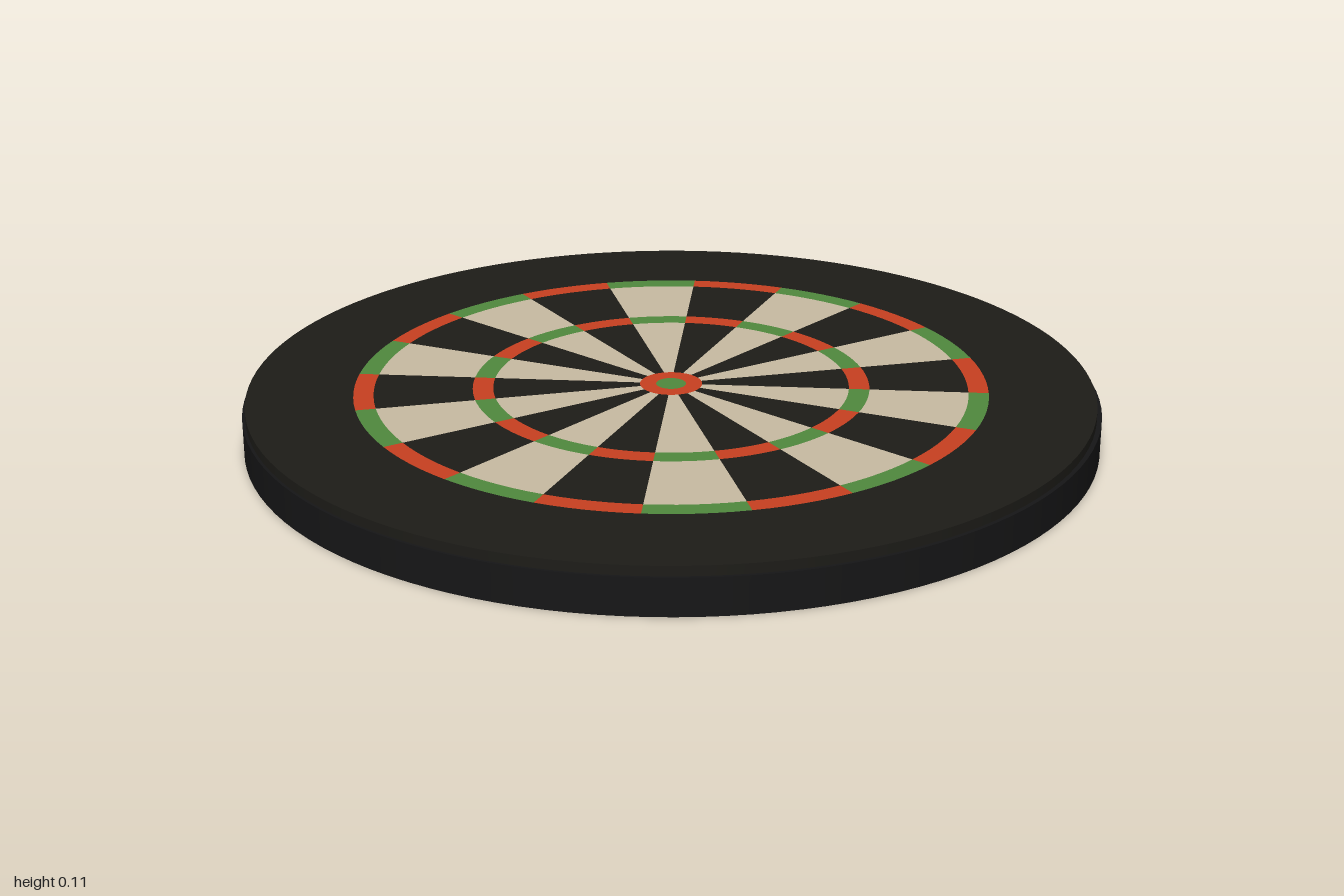
import * as THREE from 'three';
import { mergeGeometries } from 'three/addons/utils/BufferGeometryUtils.js';

const SECTORS = 20, SEGMENTS = 120, TOP = 0.11, BODY = 0.087;
const STEP = (Math.PI * 2) / SECTORS;
const BLACK = 0x1d1c18, CREAM = 0xc8bba3, RED = 0xc84020, GREEN = 0x508a3e;

function addMesh(parent, name, geometry, color) {
  const mesh = new THREE.Mesh(geometry, new THREE.MeshStandardMaterial({ color }));
  mesh.name = name;
  parent.add(mesh);
  return mesh;
}

// Flat ring (or part of one) lying on the top face
function flatRing(inner, outer, start = 0, length = Math.PI * 2) {
  const segments = Math.round((SEGMENTS * length) / (Math.PI * 2));
  return new THREE.RingGeometry(inner, outer, segments, 1, start, length)
    .rotateX(-Math.PI / 2).translate(0, TOP, 0);
}

// Every second sector of a ring, merged; parity 0 includes the one towards -z
function sectorRing(inner, outer, parity) {
  const parts = [];
  for (let i = parity; i < SECTORS; i += 2) {
    parts.push(flatRing(inner, outer, Math.PI / 2 - STEP / 2 + i * STEP, STEP));
  }
  return mergeGeometries(parts);
}

export function createModel() {
  const board = new THREE.Group();
  board.name = 'dartboard';

  // Backing disc
  addMesh(board, 'backing', new THREE.CylinderGeometry(1, 1, BODY, SEGMENTS)
    .translate(0, BODY / 2, 0), 0x161617);

  // Playing face, turned very slightly on its backing
  const face = new THREE.Group();
  face.name = 'playingFace';
  face.position.z = 0.004;
  face.rotation.y = 0.017;
  board.add(face);

  // Black border with its outer edge
  addMesh(face, 'faceEdge', new THREE.CylinderGeometry(0.99, 0.99, TOP - BODY, SEGMENTS, 1, true)
    .translate(0, (TOP + BODY) / 2, 0), BLACK);
  addMesh(face, 'border', flatRing(0.742, 0.99), BLACK);

  // Scoring bands from outside in: [name, inner radius, outer radius, even colour, odd colour]
  const bands = [
    ['doubleRing', 0.695, 0.742, GREEN, RED],
    ['outerSingles', 0.465, 0.695, CREAM, BLACK],
    ['trebleRing', 0.417, 0.465, GREEN, RED],
    ['innerSingles', 0.073, 0.417, CREAM, BLACK],
  ];
  for (const [name, inner, outer, even, odd] of bands) {
    addMesh(face, name + 'Even', sectorRing(inner, outer, 0), even);
    addMesh(face, name + 'Odd', sectorRing(inner, outer, 1), odd);
  }

  // Bullseye
  addMesh(face, 'outerBull', flatRing(0.035, 0.073), RED);
  addMesh(face, 'innerBull', new THREE.CircleGeometry(0.035, SEGMENTS)
    .rotateX(-Math.PI / 2).translate(0, TOP, 0), GREEN);

  return board;
}
